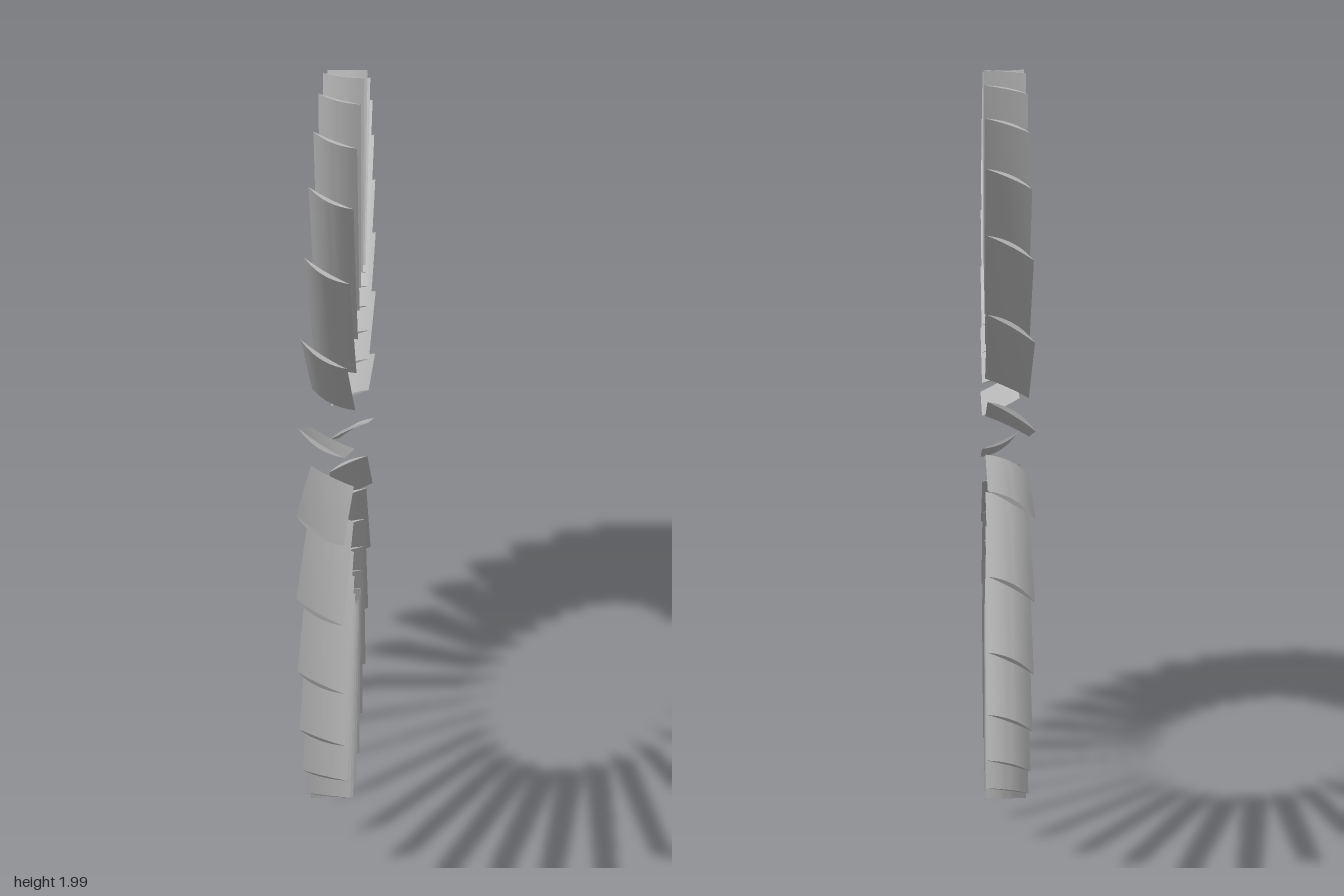
import * as THREE from 'three';
import { toCreasedNormals } from 'three/addons/utils/BufferGeometryUtils.js';

const BLADES = 30, R_IN = 0.472, R_OUT = 0.999;

// One thin cambered blade: x along the ring axis, y tangential, z radial
function bladeGeometry() {
  const halfX = 0.056, halfY = 0.033;
  const len = Math.hypot(halfX, halfY);
  const nx = -halfY / len, ny = -halfX / len; // convex side
  const outer = 0.014 * 2, inner = 0.004 * 2;
  const section = new THREE.Shape();
  section.moveTo(-halfX, halfY);
  section.quadraticCurveTo(nx * outer, ny * outer, halfX, -halfY);
  section.quadraticCurveTo(nx * inner, ny * inner, -halfX, halfY);
  const geo = new THREE.ExtrudeGeometry(section, {
    depth: R_OUT - R_IN, steps: 4, curveSegments: 10, bevelEnabled: false,
  });
  geo.translate(0, 0, R_IN);
  // Blade pitch flattens toward the root
  const p = geo.attributes.position;
  for (let i = 0; i < p.count; i++) {
    const t = (p.getZ(i) - R_IN) / (R_OUT - R_IN);
    p.setY(i, p.getY(i) * THREE.MathUtils.lerp(0.8, 1.04, t));
  }
  return toCreasedNormals(geo, 0.6);
}

export function createModel() {
  const model = new THREE.Group();
  model.name = 'bladeRing';
  const metal = new THREE.MeshStandardMaterial({ color: 0xb4b4b4 });
  metal.name = 'grey metal';
  const geo = bladeGeometry();
  // Evenly spaced blades around the x axis
  for (let i = 0; i < BLADES; i++) {
    const blade = new THREE.Mesh(geo, metal);
    blade.name = 'blade' + (i + 1);
    blade.position.y = 1;
    blade.rotation.x = -i * Math.PI * 2 / BLADES;
    model.add(blade);
  }
  return model;
}
